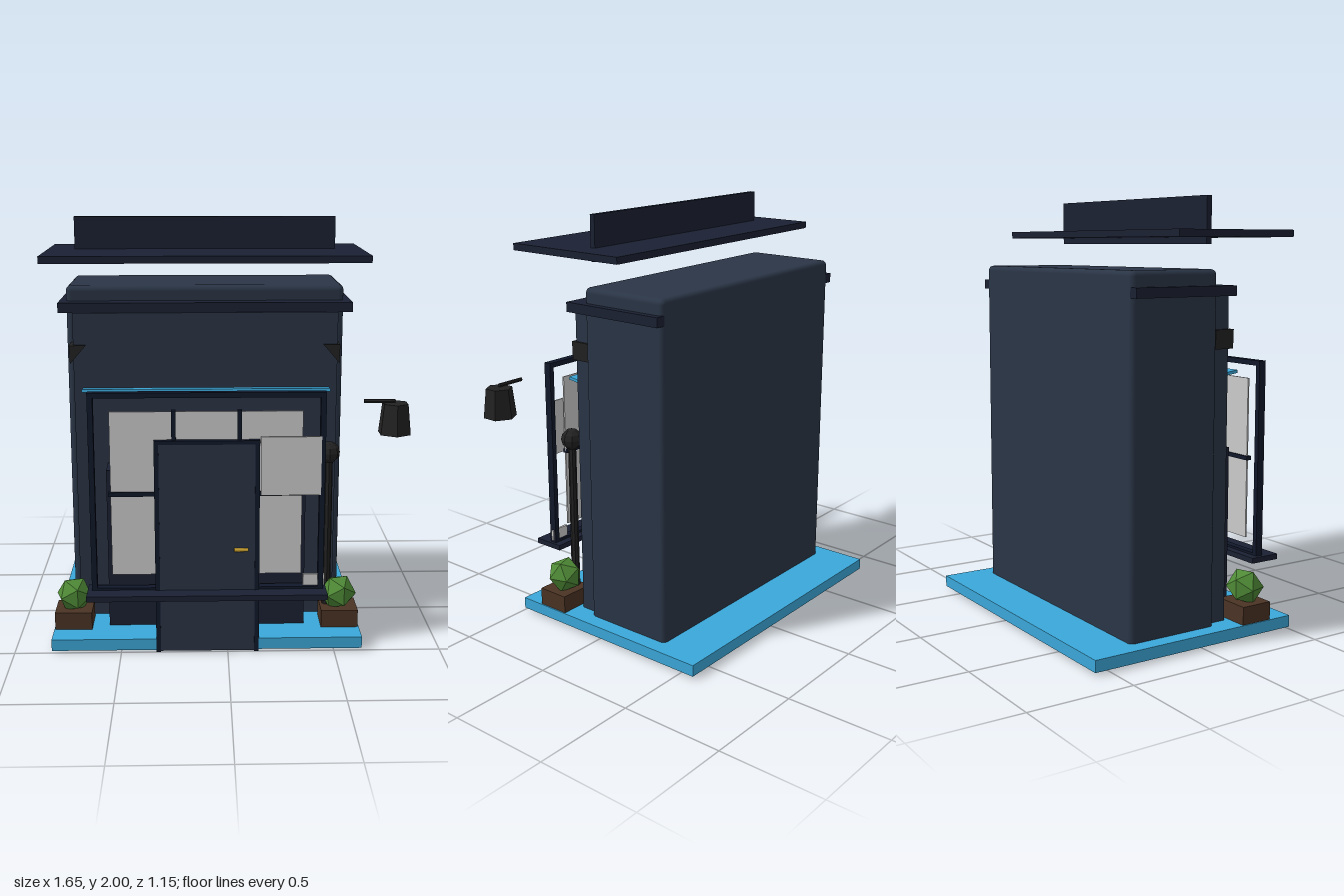
import * as THREE from 'three';
import { RoundedBoxGeometry } from 'three/addons/geometries/RoundedBoxGeometry.js';

const mat = (color, flatShading = false) => new THREE.MeshStandardMaterial({ color, flatShading });
const wall = mat(0x2a3546), trim = mat(0x1b2133), frameDark = mat(0x11182a), blue = mat(0x3ba8da);
const black = mat(0x222222, true), brown = mat(0x4a3324), leaf = mat(0x4f8a36, true);
const gold = mat(0xc9a030), glass = mat(0xcccccc), white = mat(0xffffff);

export function createModel() {
  const model = new THREE.Group();

  const add = (name, geometry, material, x = 0, y = 0, z = 0) => {
    const mesh = new THREE.Mesh(geometry, material);
    mesh.name = name;
    mesh.position.set(x, y, z);
    model.add(mesh);
    return mesh;
  };
  // Box given by its limits on each axis
  const box = (name, material, [x0, x1], [y0, y1], [z0, z1]) =>
    add(name, new THREE.BoxGeometry(x1 - x0, y1 - y0, z1 - z0), material,
      (x0 + x1) / 2, (y0 + y1) / 2, (z0 + z1) / 2);

  // Ground slab and building shell
  box('baseSlab', blue, [-0.826, 0.632], [0.015, 0.07], [-0.575, 0.5]);
  add('building', new RoundedBoxGeometry(1.309, 1.677, 0.457, 3, 0.025), wall, -0.0975, 0.8425, -0.119);
  box('facade', wall, [-0.715, 0.522], [0.07, 1.565], [0.09, 0.198]);
  box('cornice', trim, [-0.783, 0.59], [1.565, 1.61], [-0.345, 0.188]);
  box('displayCounter', trim, [-0.565, 0.37], [0.07, 0.845], [0.19, 0.335]);

  // Floating roof plate with upright sign board
  box('roofPlate', trim, [-0.826, 0.632], [1.82, 1.852], [-0.16, 0.473]);
  box('signBoard', trim, [-0.703, 0.51], [1.79, 2.0], [0.08, 0.106]);

  // Awning strip, rising a little towards the front
  const awning = add('awning', new THREE.BoxGeometry(1.155, 0.014, 0.13), blue, -0.0955, 1.207, 0.226);
  awning.rotation.x = -0.14;

  // Corner brackets under the cornice
  for (const side of [-1, 1]) {
    const shape = new THREE.Shape();
    shape.moveTo(side * 0.633, 1.415);
    shape.lineTo(side * 0.555, 1.415);
    shape.lineTo(side * 0.63, 1.328);
    const geometry = new THREE.ExtrudeGeometry(shape, { depth: 0.1, bevelEnabled: false });
    add('cornerBracket', geometry, black, -0.1, 0, 0.115);
  }

  // Window frame, sill, mullions and panes
  const frameZ = [0.458, 0.495];
  box('frameTop', frameDark, [-0.63, 0.443], [1.226, 1.25], frameZ);
  box('frameBottom', frameDark, [-0.63, 0.443], [0.31, 0.325], frameZ);
  for (const x of [-0.63, 0.418]) box('frameSide', frameDark, [x, x + 0.025], [0.31, 1.25], frameZ);
  box('windowSill', trim, [-0.65, 0.457], [0.288, 0.314], [0.42, 0.574]);
  box('windowPane', glass, [-0.535, 0.34], [0.385, 1.16], [0.47, 0.478]);
  for (const x of [-0.245, 0.053]) box('mullion', frameDark, [x - 0.01, x + 0.01], [0.385, 1.166], [0.462, 0.488]);
  box('crossBar', frameDark, [-0.545, 0.34], [0.765, 0.785], [0.462, 0.488]);
  box('noticePanel', glass, [0.15, 0.425], [0.77, 1.045], [0.488, 0.497]);
  box('smallNotice', white, [0.35, 0.45], [0.325, 0.38], [0.468, 0.48]);

  // Door with its frame and handle
  box('door', wall, [-0.315, 0.125], [0.01, 1.015], [0.464, 0.5]);
  for (const x of [-0.335, 0.124]) box('doorPost', frameDark, [x, x + 0.021], [0.005, 1.03], [0.46, 0.504]);
  box('doorLintel', frameDark, [-0.335, 0.145], [1.012, 1.03], [0.46, 0.504]);
  const handle = add('doorHandle', new THREE.CylinderGeometry(0.009, 0.009, 0.066, 8), gold, 0.062, 0.512, 0.508);
  handle.rotation.z = Math.PI / 2;

  // Planters with bushes
  for (const x of [-0.733, 0.538]) {
    box('planter', brown, [x - 0.088, x + 0.088], [0.06, 0.155], [0.225, 0.384]);
    const bush = add('bush', new THREE.IcosahedronGeometry(0.087, 0), leaf, x, 0.22, 0.305);
    bush.rotation.y = 0.3;
  }

  // Post with ball top
  add('post', new THREE.CylinderGeometry(0.019, 0.021, 0.83, 8), black, 0.482, 0.485, 0.285);
  add('postBall', new THREE.SphereGeometry(0.052, 8, 6), black, 0.482, 0.915, 0.285);

  // Hanging lamp on a short arm
  const arm = add('lampArm', new THREE.CylinderGeometry(0.009, 0.009, 0.14, 6), black, 0.682, 1.205, 0.48);
  arm.rotation.z = Math.PI / 2;
  add('lampShade', new THREE.CylinderGeometry(0.062, 0.078, 0.14, 6), black, 0.753, 1.125, 0.48);

  return model;
}
